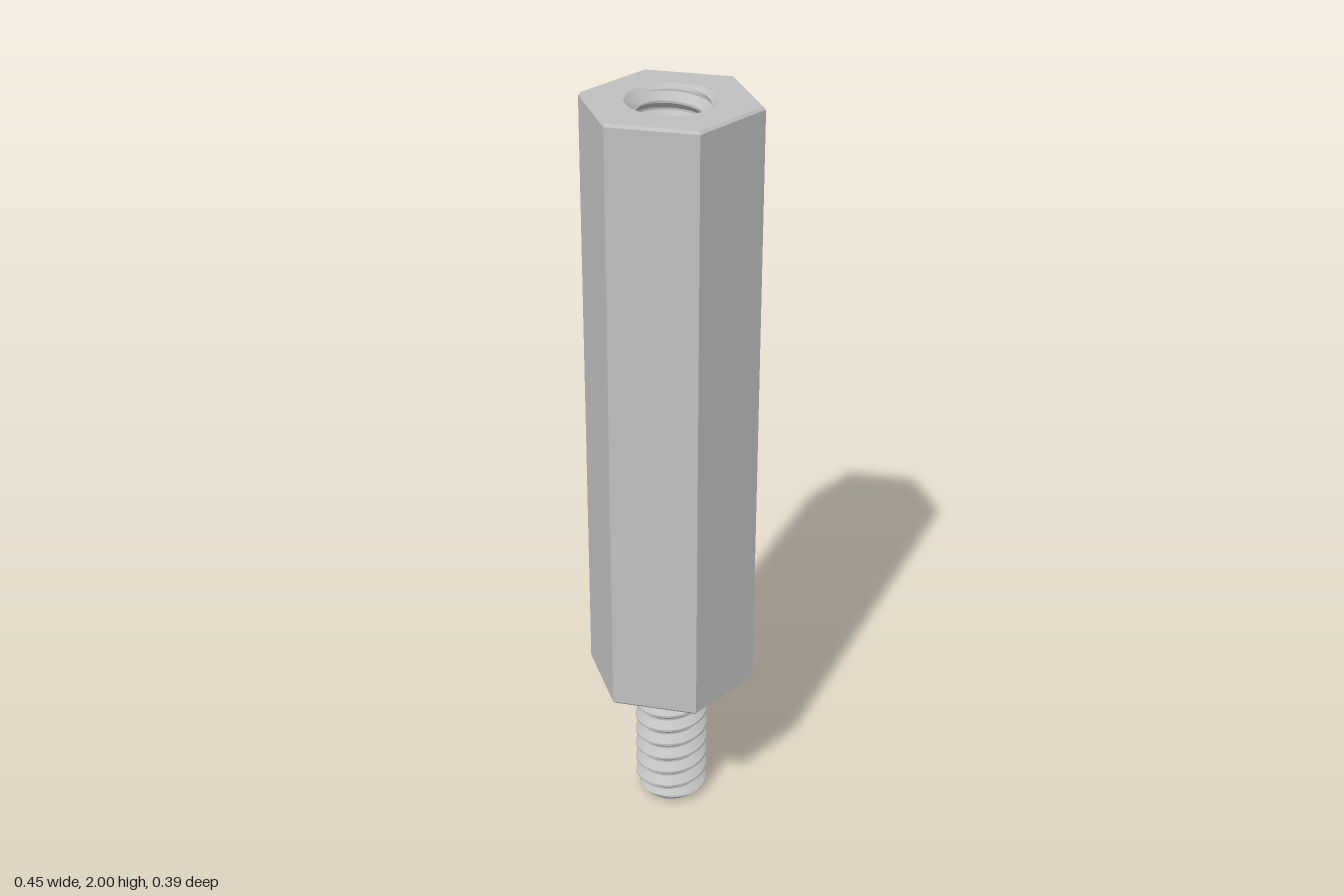
import * as THREE from 'three';

const HEX_R = 0.223, BODY_Y = 0.395, TOP_Y = 2, CHAMFER = 0.007;
const PITCH = 0.047, HOLE_FLOOR = 1.45, HOLE_R = 0.11;

// Right-handed helical V-thread between y0 and y1; limit(r, y) trims the ends.
function threadGeometry(y0, y1, root, crest, limit, inward) {
  const around = 64, steps = 3;
  // Phase along one pitch: root flat, rising flank, crest flat, falling flank
  const profile = [[0, root], [0.12, root], [0.5, crest], [0.62, crest], [1, root]];
  const radiusAt = (phase) => {
    const i = Math.max(1, profile.findIndex(([p]) => p >= phase));
    const [p0, r0] = profile[i - 1], [p1, r1] = profile[i];
    return r0 + (r1 - r0) * (phase - p0) / (p1 - p0);
  };
  const pos = [], index = [];
  const addRow = (turn, phase) => {
    const start = pos.length / 3;
    for (let i = 0; i <= around; i++) {
      const u = i / around, angle = u * Math.PI * 2;
      const raw = y0 + (turn + phase + u) * PITCH;
      const y = Math.min(y1, Math.max(y0, raw));
      let ph = phase;
      if (y !== raw) {
        ph = (y - y0) / PITCH - u;
        ph -= Math.floor(ph);
      }
      const r = limit(radiusAt(ph), y);
      pos.push(r * Math.sin(angle), y, r * Math.cos(angle));
    }
    return start;
  };
  const turns = Math.ceil((y1 - y0) / PITCH);
  for (let turn = -1; turn <= turns; turn++) {
    for (let k = 0; k < profile.length - 1; k++) {
      for (let s = 0; s < steps; s++) {
        // Each band has its own rows, so thread edges stay sharp
        const p = (t) => profile[k][0] + (profile[k + 1][0] - profile[k][0]) * t / steps;
        const a = addRow(turn, p(s)), b = addRow(turn, p(s + 1));
        for (let i = 0; i < around; i++) {
          const [q, w, e, r] = [a + i, a + i + 1, b + i + 1, b + i];
          if (inward) index.push(q, e, w, q, r, e);
          else index.push(q, w, e, q, e, r);
        }
      }
    }
  }
  const geo = new THREE.BufferGeometry();
  geo.setAttribute('position', new THREE.Float32BufferAttribute(pos, 3));
  geo.setIndex(index);
  geo.computeVertexNormals();
  return geo;
}

export function createModel() {
  const group = new THREE.Group();
  const steel = new THREE.MeshStandardMaterial({ color: 0xc0c0c0 });
  steel.name = 'steel grey';
  const add = (name, geo) => {
    const mesh = new THREE.Mesh(geo, steel);
    mesh.name = name;
    group.add(mesh);
    return mesh;
  };

  // Hexagonal sleeve with small chamfers and a closed underside
  const inner = HEX_R - CHAMFER;
  const outline = [[0, BODY_Y], [inner, BODY_Y], [HEX_R, BODY_Y + CHAMFER],
    [HEX_R, TOP_Y - CHAMFER], [inner, TOP_Y]].map(([x, y]) => new THREE.Vector2(x, y));
  const sleeve = new THREE.LatheGeometry(outline, 6, Math.PI / 2).toNonIndexed();
  sleeve.computeVertexNormals();
  add('hexBody', sleeve);

  // Top face with the hole opening
  const hex = new THREE.Shape();
  for (let i = 0; i < 6; i++) {
    const a = i * Math.PI / 3;
    hex[i ? 'lineTo' : 'moveTo'](inner * Math.cos(a), inner * Math.sin(a));
  }
  hex.closePath();
  hex.holes.push(new THREE.Path().absarc(0, 0, HOLE_R, 0, Math.PI * 2, true));
  const top = new THREE.ShapeGeometry(hex, 32).rotateX(-Math.PI / 2).translate(0, TOP_Y, 0);
  add('topFace', top);

  // Countersunk, threaded blind hole and its floor
  add('threadedHole', threadGeometry(HOLE_FLOOR, TOP_Y, 0.1, 0.081,
    (r, y) => Math.max(r, HOLE_R - (TOP_Y - y)), true));
  add('holeFloor', new THREE.CircleGeometry(0.102, 48)
    .rotateX(-Math.PI / 2).translate(0, HOLE_FLOOR, 0));

  // Threaded stud with a tapered tip
  const tipR = 0.068;
  add('threadedStud', threadGeometry(0, BODY_Y, 0.077, 0.097,
    (r, y) => Math.min(r, tipR + y), false));
  add('studTip', new THREE.CircleGeometry(tipR, 64).rotateX(Math.PI / 2));

  return group;
}
